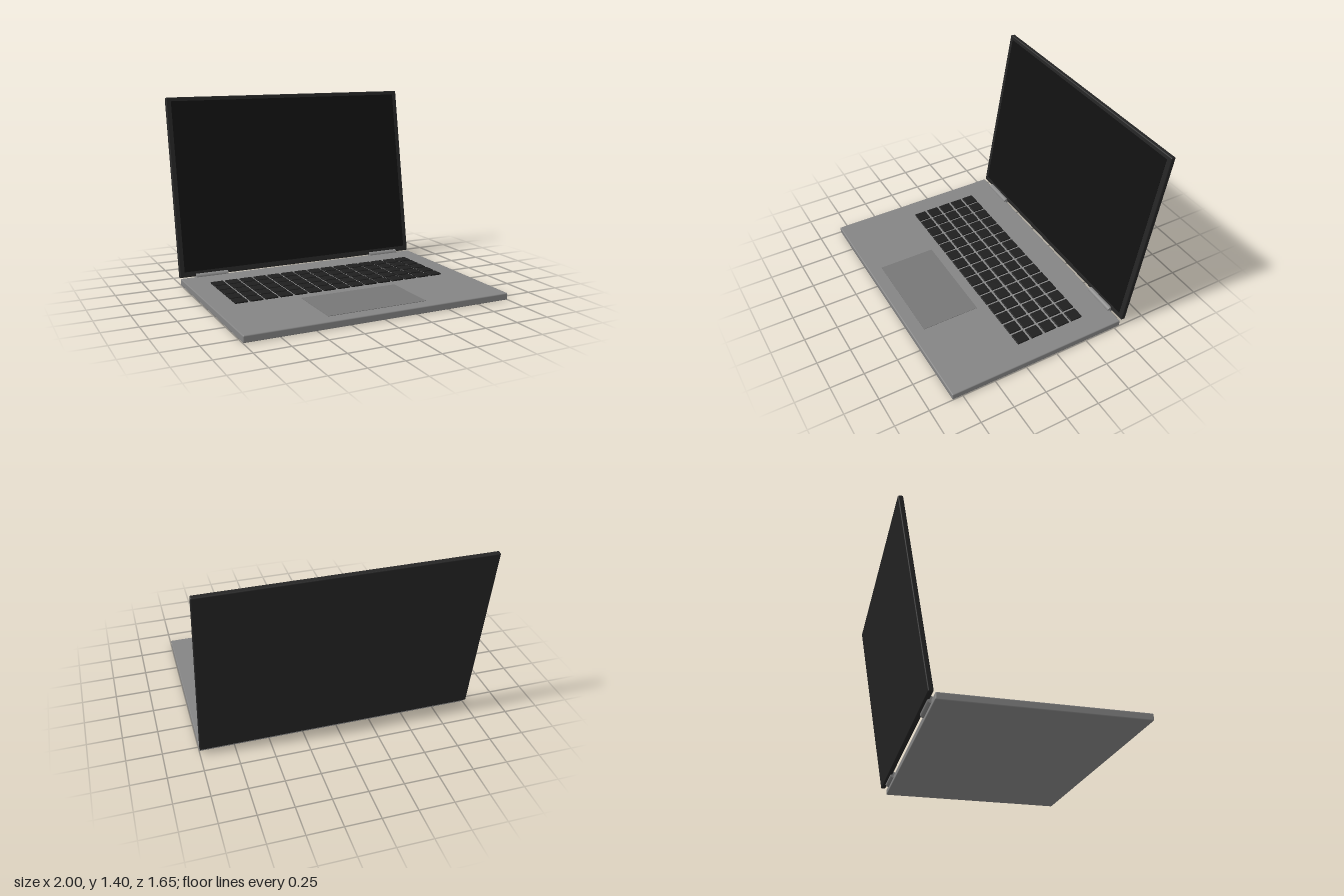
import * as THREE from 'three';
import { RoundedBoxGeometry } from 'three/addons/geometries/RoundedBoxGeometry.js';

const mat = (color) => new THREE.MeshStandardMaterial({ color });

function part(parent, name, geometry, material, x, y, z) {
  const mesh = new THREE.Mesh(geometry, material);
  mesh.name = name;
  mesh.position.set(x, y, z);
  parent.add(mesh);
  return mesh;
}

export function createModel() {
  const laptop = new THREE.Group();
  laptop.name = 'laptop';
  const metal = mat(0x848484);
  const padGrey = mat(0x767676);
  const keyBlack = mat(0x1e1e1e);
  const lidBlack = mat(0x242424);
  const glass = mat(0x111111);

  // Lower body and trackpad
  part(laptop, 'base', new RoundedBoxGeometry(2, 0.05, 1.375, 2, 0.008), metal, 0, 0.025, 0.14);
  part(laptop, 'trackpad', new THREE.BoxGeometry(0.75, 0.005, 0.435), padGrey, 0, 0.05, 0.512);

  // Keyboard: 5 rows of 15 keys
  const keyboard = new THREE.Group();
  keyboard.name = 'keyboard';
  laptop.add(keyboard);
  const keyGeometry = new RoundedBoxGeometry(0.095, 0.0125, 0.095, 1, 0.004);
  const pitch = 0.1125;
  for (let row = 0; row < 5; row++) {
    for (let col = 0; col < 15; col++) {
      part(keyboard, 'key', keyGeometry, keyBlack,
        (col - 7) * pitch, 0.05625, -0.053 + (row - 2) * pitch);
    }
  }

  // Hinge barrels
  const barrel = new THREE.CylinderGeometry(0.0225, 0.0225, 0.25, 24).rotateZ(Math.PI / 2);
  for (const side of [-1, 1]) {
    part(laptop, side > 0 ? 'leftHinge' : 'rightHinge', barrel, metal, side * 0.75, 0.05, -0.55);
  }

  // Lid with screen, leaning back 10 degrees
  const lid = new THREE.Group();
  lid.name = 'lid';
  lid.position.set(0, 0.723, -0.692);
  lid.rotation.x = -Math.PI / 18;
  laptop.add(lid);
  part(lid, 'lidShell', new RoundedBoxGeometry(2, 1.37, 0.036, 2, 0.008), lidBlack, 0, 0, 0);
  part(lid, 'screen', new THREE.BoxGeometry(1.925, 1.3, 0.004), glass, 0, 0.005, 0.0175);

  return laptop;
}
